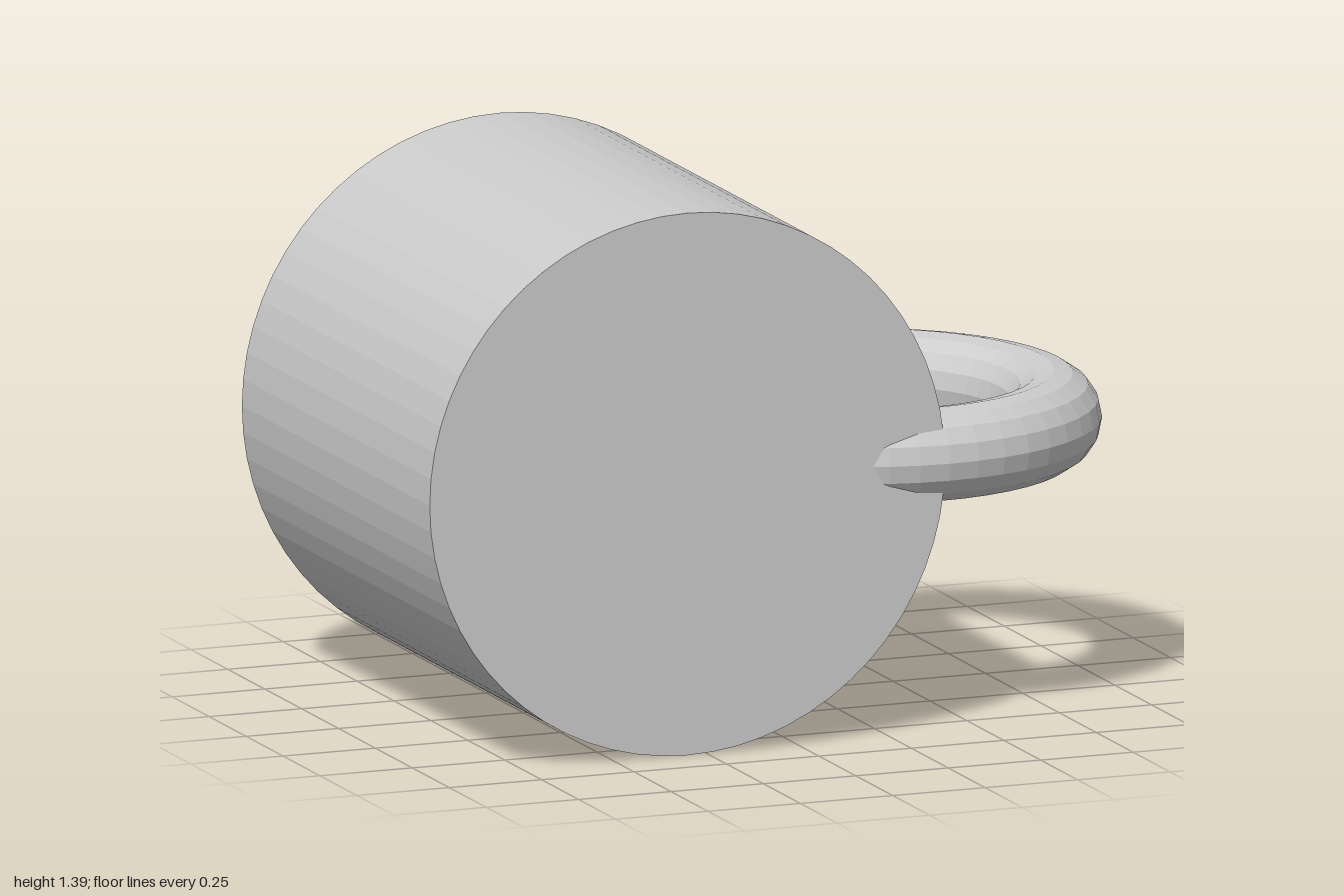
import * as THREE from 'three';

export function createModel() {
  const group = new THREE.Group();
  const material = new THREE.MeshStandardMaterial({ color: 0xcccccc, flatShading: true });

  function add(name, geometry, x, y, z) {
    const mesh = new THREE.Mesh(geometry, material);
    mesh.name = name;
    mesh.rotation.x = Math.PI / 2;
    mesh.position.set(x, y, z);
    group.add(mesh);
  }

  // Solid cup body lying on its side, closed at both ends
  add('cupBody', new THREE.CylinderGeometry(0.697, 0.697, 1.272, 64), -0.303, 0.697, -0.018);

  // Ring handle, half sunk into the body and just breaking through the front end
  add('handle', new THREE.TorusGeometry(0.484, 0.12, 16, 48), 0.396, 0.7, 0.048);

  return group;
}
